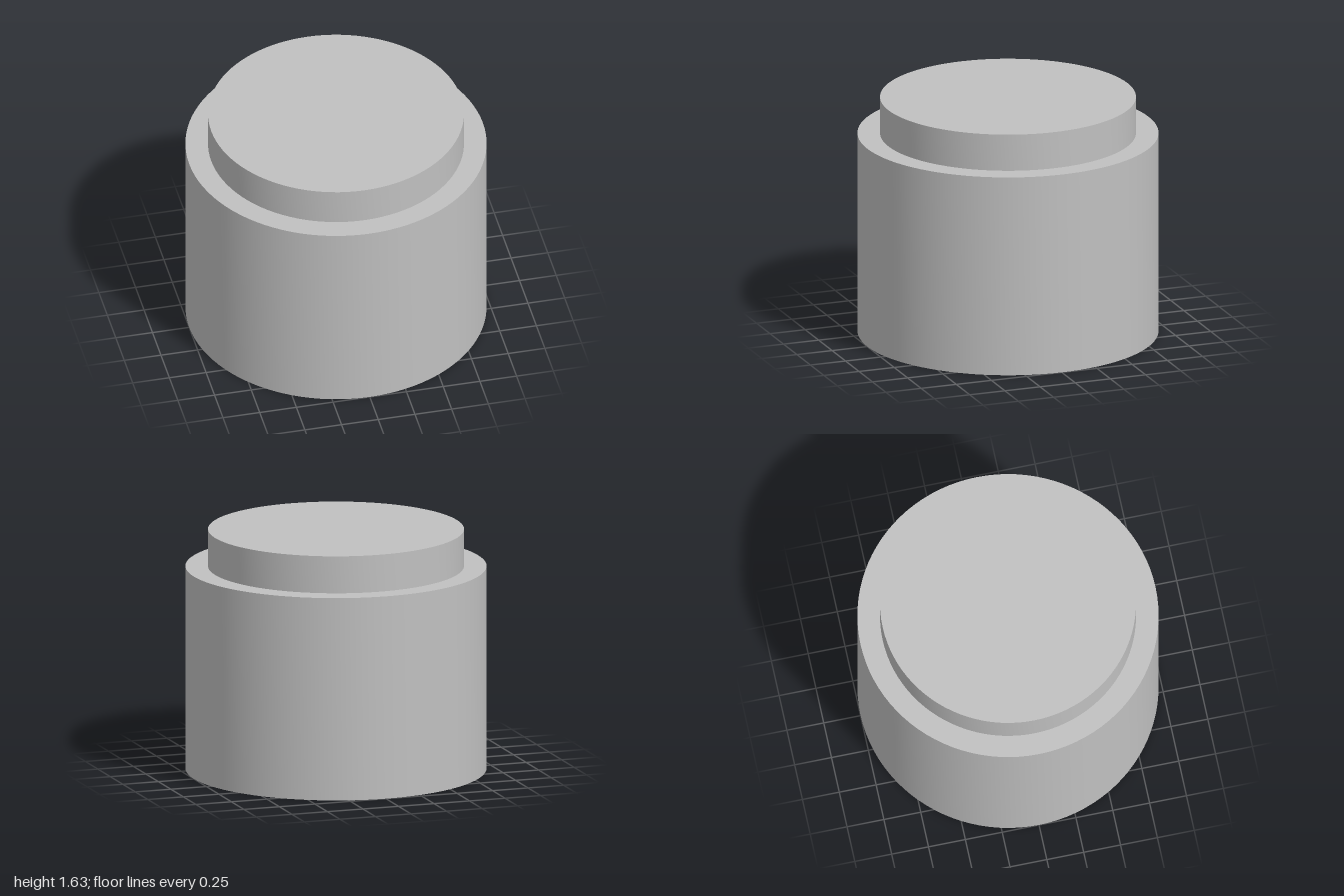
import * as THREE from 'three';
import { toCreasedNormals } from 'three/addons/utils/BufferGeometryUtils.js';

export function createModel() {
  const model = new THREE.Group();
  const grey = new THREE.MeshStandardMaterial({ color: 0xc0c0c0 });
  grey.name = 'grey';

  const SEGMENTS = 96;
  const boreRadius = 0.387, boreDepth = 1.2;
  const flatAngle = Math.PI / 3; // half the angle spanned by the bore's flat side

  const add = (name, geometry) => {
    const mesh = new THREE.Mesh(geometry, grey);
    mesh.name = name;
    model.add(mesh);
    return mesh;
  };
  const lathe = (points, ...arc) => new THREE.LatheGeometry(
    points.map(([r, y]) => new THREE.Vector2(r, y)), ...arc);

  // Stepped round body: wide drum, shoulder and narrower cap
  add('body', toCreasedNormals(
    lathe([[1, 0], [1, 1.375], [0.85, 1.375], [0.85, 1.626], [0, 1.626]], SEGMENTS), 0.5));

  // D-shaped outline of the shaft bore, flat side towards +x
  const outline = (path) => {
    path.absarc(0, 0, boreRadius, flatAngle, 2 * Math.PI - flatAngle, false);
    path.closePath();
    return path;
  };

  // Underside with the bore opening
  const disc = new THREE.Shape().absarc(0, 0, 1, 0, 2 * Math.PI, false);
  disc.holes.push(outline(new THREE.Path()));
  add('underside', new THREE.ShapeGeometry(disc, SEGMENTS).rotateX(Math.PI / 2));

  // Blind end of the bore
  add('boreEnd', new THREE.ShapeGeometry(outline(new THREE.Shape()), SEGMENTS)
    .rotateX(Math.PI / 2)).position.y = boreDepth;

  // Round wall of the bore, facing inwards
  add('boreRoundWall', lathe([[boreRadius, boreDepth], [boreRadius, 0]], SEGMENTS,
    Math.PI / 2 + flatAngle, 2 * Math.PI - 2 * flatAngle));

  // Flat wall of the bore
  add('boreFlatWall', new THREE.PlaneGeometry(2 * boreRadius * Math.sin(flatAngle), boreDepth)
    .rotateY(-Math.PI / 2))
    .position.set(boreRadius * Math.cos(flatAngle), boreDepth / 2, 0);

  return model;
}
